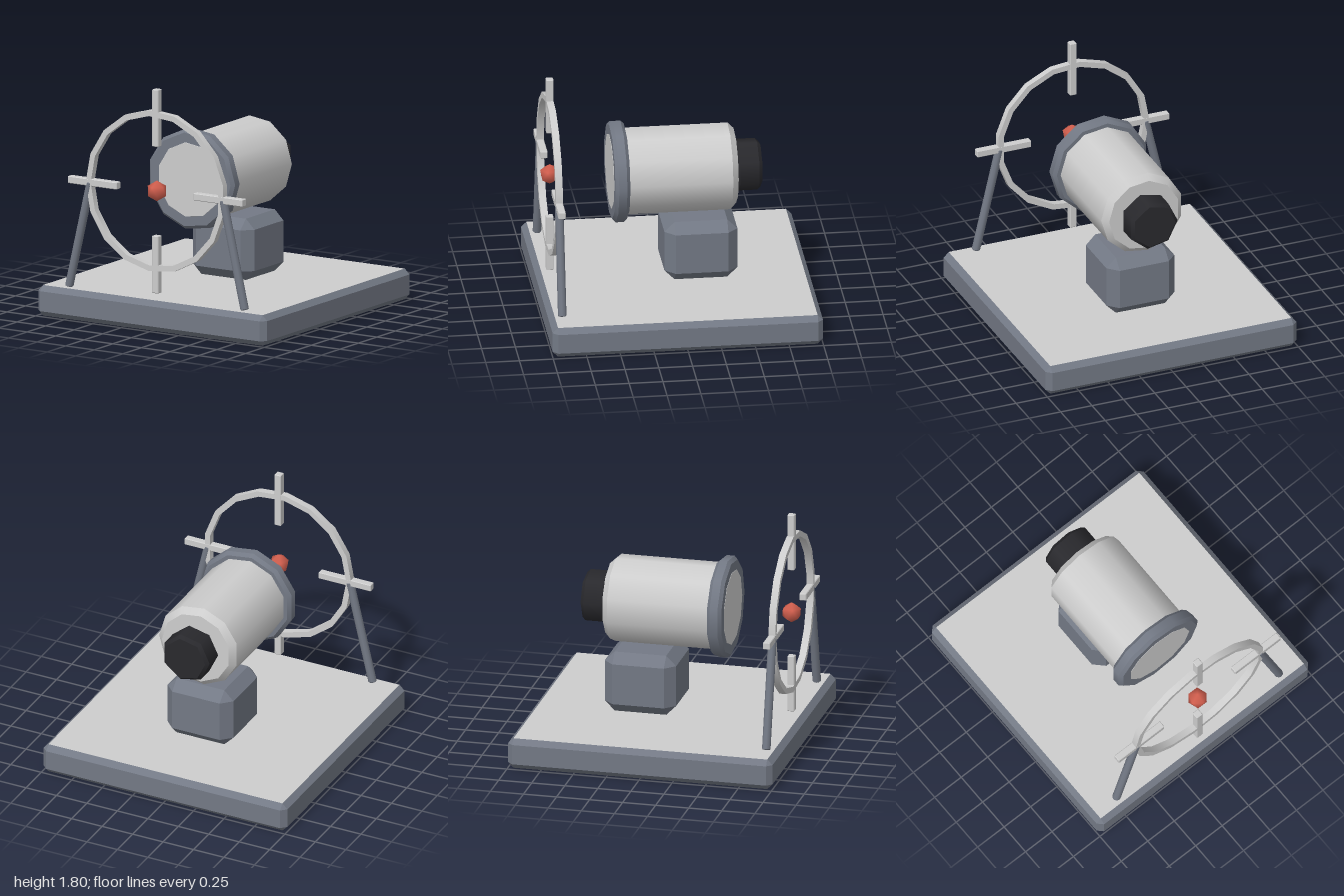
import * as THREE from 'three';
import { ConvexGeometry } from 'three/addons/geometries/ConvexGeometry.js';

const AXIS_Y = 1.04;   // height of the barrel and sight axis
const SIGHT_Z = 0.905; // plane of the sight ring

const paint = (name, color) => {
  const m = new THREE.MeshStandardMaterial({ color });
  m.name = name;
  return m;
};

// Box with every edge cut at 45 degrees
function chamferBox(w, h, d, c) {
  const pts = [];
  for (const x of [-1, 1]) for (const y of [-1, 1]) for (const z of [-1, 1]) {
    const X = x * w / 2, Y = y * h / 2, Z = z * d / 2;
    pts.push(
      new THREE.Vector3(X, Y - y * c, Z - z * c),
      new THREE.Vector3(X - x * c, Y, Z - z * c),
      new THREE.Vector3(X - x * c, Y - y * c, Z));
  }
  return new ConvexGeometry(pts);
}

// Turned part: smooth around its axis, sharp between the bands of its profile
function turned(profile, sides, start = 0) {
  const pts = [];
  profile.forEach(([r, y], i) => {
    pts.push(new THREE.Vector2(r, y));
    if (i > 0 && i < profile.length - 1) pts.push(new THREE.Vector2(r, y));
  });
  return new THREE.LatheGeometry(pts, sides, start);
}

// Solid drum profile with chamfered ends
const drum = (r, y0, y1, c) =>
  [[0, y0], [r - c, y0], [r, y0 + c], [r, y1 - c], [r - c, y1], [0, y1]];

export function createModel() {
  const model = new THREE.Group();
  const light = paint('lightGrey', 0xcdcdcd);
  const slate = paint('slateGrey', 0x737985);
  const dark = paint('charcoal', 0x29292d);
  const red = paint('coralRed', 0xd4604f);

  const add = (name, geometry, material, x = 0, y = 0, z = 0) => {
    const mesh = new THREE.Mesh(geometry, material);
    mesh.name = name;
    mesh.position.set(x, y, z);
    model.add(mesh);
    return mesh;
  };

  // Base slab: slate edges, light top and bottom faces
  const slab = chamferBox(2, 0.23, 2, 0.04);
  const normals = slab.attributes.normal;
  for (let i = 0; i < normals.count; i += 3) {
    slab.addGroup(i, 3, Math.abs(normals.getY(i)) > 0.99 ? 1 : 0);
  }
  add('base', slab, [slate, light], 0, 0.115, 0);

  // Pedestal below the barrel
  add('pedestal', chamferBox(0.54, 0.46, 0.54, 0.075), slate, 0, 0.46, -0.19);

  // Barrel, front rim and rear knob, all along z
  const alongZ = (geometry) => geometry.rotateX(Math.PI / 2);
  add('barrel', alongZ(turned(drum(0.325, -0.46, 0.462, 0.045), 11, Math.PI / 2)), light, 0, AXIS_Y, 0);
  const rim = [[0.29, 0.35], [0.355, 0.35], [0.38, 0.375], [0.38, 0.435], [0.355, 0.46], [0.28, 0.46]];
  add('barrelRim', alongZ(turned(rim, 11, Math.PI / 2)), slate, 0, AXIS_Y, 0);
  add('rearKnob', alongZ(turned(drum(0.195, -0.65, -0.46, 0.025), 7, -Math.PI / 2)), dark, 0, AXIS_Y, 0);

  // Sight ring with a rectangular section
  const band = [[0.563, -0.026], [0.606, -0.026], [0.606, 0.026], [0.563, 0.026], [0.563, -0.026]];
  add('sightRing', alongZ(turned(band, 17, -Math.PI / 2)), light, 0, AXIS_Y, SIGHT_Z);

  // Four cross bars around the ring
  for (let i = 0; i < 4; i++) {
    const a = i * Math.PI / 2;
    const bar = add('crossBar', chamferBox(0.43, 0.054, 0.054, 0.005), light,
      0.55 * Math.cos(a), AXIS_Y + 0.55 * Math.sin(a), SIGHT_Z);
    bar.rotation.z = a;
  }

  // Splayed legs holding the ring
  for (const side of [-1, 1]) {
    const foot = new THREE.Vector3(side * 0.768, 0.237, SIGHT_Z);
    const top = new THREE.Vector3(side * 0.58, 1.04, SIGHT_Z);
    const length = foot.distanceTo(top);
    const leg = add(side > 0 ? 'leftLeg' : 'rightLeg',
      turned(drum(0.032, -length / 2, length / 2, 0.006), 9), slate);
    leg.position.copy(foot).lerp(top, 0.5);
    leg.quaternion.setFromUnitVectors(new THREE.Vector3(0, 1, 0), top.clone().sub(foot).normalize());
  }

  // Smooth-shaded bead with a corner pointing up
  const bead = new THREE.IcosahedronGeometry(0.078, 0);
  bead.rotateX(-Math.atan((1 + Math.sqrt(5)) / 2));
  const p = bead.attributes.position, v = new THREE.Vector3();
  for (let i = 0; i < p.count; i++) {
    v.fromBufferAttribute(p, i).normalize();
    bead.attributes.normal.setXYZ(i, v.x, v.y, v.z);
  }
  add('aimingBead', bead, red, 0, AXIS_Y, SIGHT_Z);

  return model;
}
